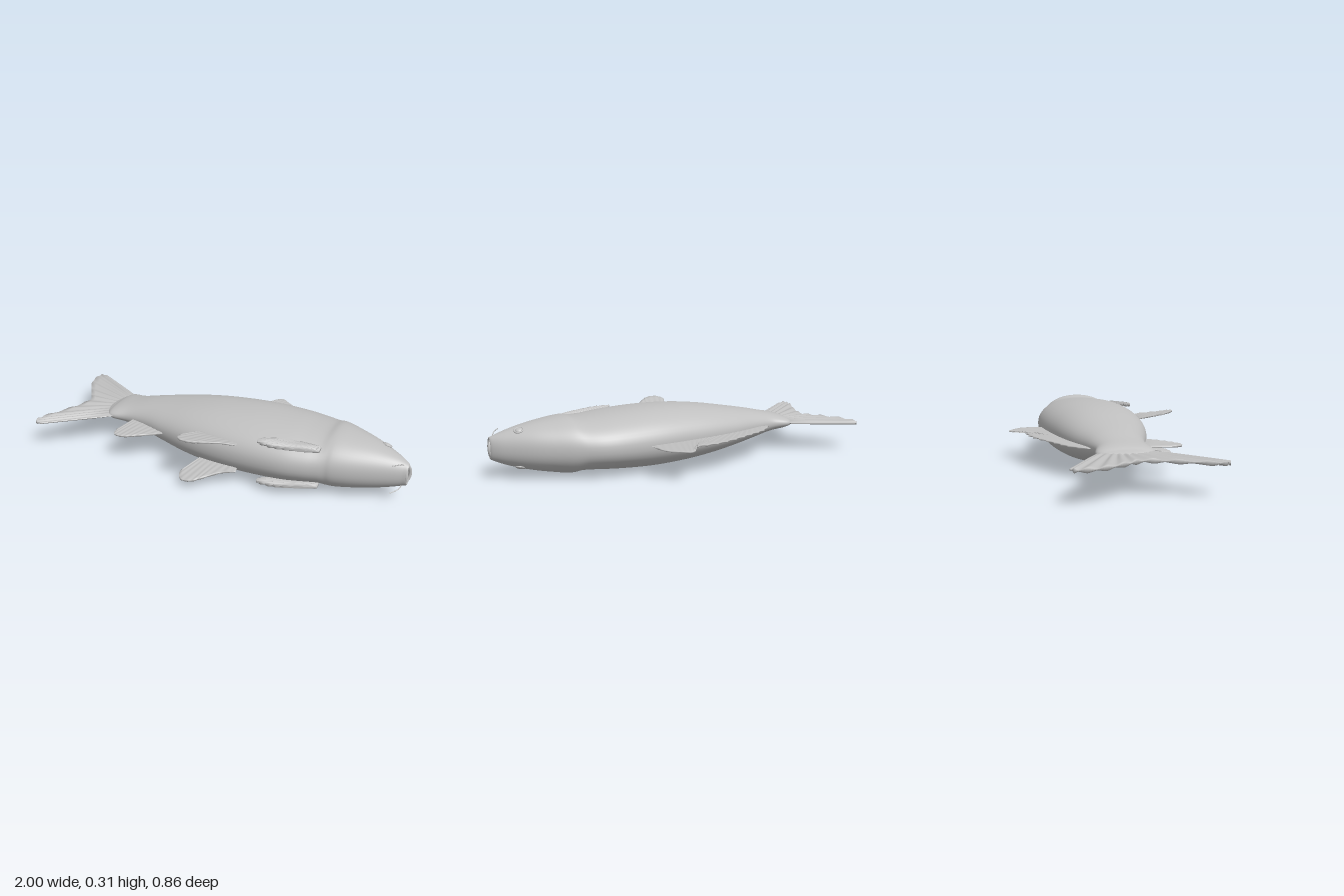
import * as THREE from 'three';

const skin = new THREE.MeshStandardMaterial({ color: 0xc0c0c0 });
skin.name = 'pale grey';
const MID = 0.156; // height of the fish's plane of symmetry (it lies on its side)

// Closed skin over a row of rings with equal point counts
function loft(rings) {
  const n = rings[0].length, pos = rings.flat(2), idx = [];
  for (let i = 0; i < rings.length - 1; i++) {
    for (let j = 0; j < n; j++) {
      const k = (j + 1) % n, a = i * n + j, b = i * n + k;
      idx.push(a, a + n, b, b, a + n, b + n);
    }
  }
  // Turn the faces outward if the enclosed volume comes out negative
  const P = (i) => new THREE.Vector3(pos[3 * i], pos[3 * i + 1] - MID, pos[3 * i + 2]);
  let volume = 0;
  for (let i = 0; i < idx.length; i += 3) volume += P(idx[i]).dot(P(idx[i + 1]).cross(P(idx[i + 2])));
  if (volume < 0) idx.reverse();
  const g = new THREE.BufferGeometry();
  g.setAttribute('position', new THREE.Float32BufferAttribute(pos, 3));
  g.setIndex(idx);
  g.computeVertexNormals();
  return g;
}

const curve = (pts) => new THREE.CatmullRomCurve3(pts.map(([x, z]) => new THREE.Vector3(x, 0, z)), false, 'centripetal');

// Fin fanned from a base curve to an edge curve, with ribs and an optional ragged edge
function fin(base, edge, { thick = 0.008, ribs = 10, ripple = 0.001, ragged = 0, height = () => MID }) {
  const from = curve(base), to = curve(edge), U = ribs * 8, V = 8, rings = [];
  for (let i = 0; i <= U; i++) {
    const u = i / U, a = from.getPoint(u), b = to.getPoint(u);
    const wave = Math.cos(u * ribs * Math.PI * 2);
    if (u < 0.62) b.z += ragged * Math.abs(Math.sin(u * ribs * Math.PI));
    const half = thick / 2 * Math.min(1, Math.min(u, 1 - u) * 25);
    const top = [], bottom = [];
    for (let j = 0; j <= V; j++) {
      const v = j / V, p = a.clone().lerp(b, v), y = height(p.x, p.z);
      const h = half + (half > 0 ? ripple * wave * Math.min(1, v * 3) : 0);
      top.push([p.x, y + h, p.z]);
      bottom.unshift([p.x, y - h, p.z]);
    }
    rings.push([...top, ...bottom]);
  }
  return loft(rings);
}

export function createModel() {
  const fish = new THREE.Group();
  fish.name = 'fish';
  const add = (name, geometry) => {
    const m = new THREE.Mesh(geometry, skin);
    m.name = name;
    fish.add(m);
    return m;
  };

  // Body stations: x, back z, belly z, half thickness
  const stations = [
    [-0.71, 0.01, 0.03, 0.002], [-0.70, -0.035, 0.08, 0.009], [-0.675, -0.09, 0.135, 0.02],
    [-0.645, -0.115, 0.163, 0.035], [-0.55, -0.1, 0.153, 0.057], [-0.45, -0.12, 0.168, 0.08],
    [-0.3, -0.165, 0.215, 0.108], [-0.15, -0.198, 0.257, 0.133], [0, -0.22, 0.281, 0.149],
    [0.2, -0.24, 0.293, 0.155], [0.4, -0.24, 0.288, 0.145], [0.5, -0.226, 0.268, 0.136],
    [0.57, -0.204, 0.245, 0.134], [0.61, -0.188, 0.232, 0.142], [0.64, -0.175, 0.228, 0.142],
    [0.7, -0.145, 0.213, 0.134], [0.8, -0.09, 0.18, 0.116], [0.9, -0.022, 0.143, 0.089],
    [0.96, 0.025, 0.12, 0.066], [0.985, 0.055, 0.112, 0.052],
    [0.975, 0.066, 0.104, 0.042], [0.93, 0.078, 0.094, 0.02], [0.925, 0.085, 0.087, 0.002],
  ];
  const sides = new THREE.CatmullRomCurve3(stations.map(([x, a, b]) => new THREE.Vector3(x, a, b)), false, 'centripetal');
  const depth = new THREE.CatmullRomCurve3(stations.map(([x, , , h]) => new THREE.Vector3(x, h, 0)), false, 'centripetal');
  const rings = [], steps = (stations.length - 1) * 5, round = (c) => Math.sign(c) * Math.abs(c) ** 0.92;
  for (let i = 0; i <= steps; i++) {
    const s = sides.getPoint(i / steps), h = Math.max(0.001, depth.getPoint(i / steps).y);
    const ring = [];
    for (let j = 0; j < 56; j++) {
      const t = j / 56 * Math.PI * 2;
      ring.push([s.x, MID + h * round(Math.sin(t)), (s.y + s.z) / 2 + (s.z - s.y) / 2 * round(Math.cos(t))]);
    }
    rings.push(ring);
  }
  add('body', loft(rings));

  // Fins on the plane of symmetry
  add('tailFin', fin(
    [[-0.62, -0.1], [-0.66, -0.04], [-0.675, 0.02], [-0.66, 0.09], [-0.61, 0.15]],
    [[-0.965, -0.29], [-1, -0.265], [-0.985, -0.16], [-0.91, -0.04], [-0.855, 0.05],
      [-0.89, 0.18], [-0.965, 0.34], [-0.97, 0.395], [-0.93, 0.405]],
    { thick: 0.014, ribs: 11, ripple: 0.004 }));
  add('dorsalFin', fin(
    [[-0.49, -0.1], [-0.3, -0.14], [0, -0.2], [0.26, -0.22]],
    [[-0.512, -0.122], [-0.42, -0.205], [-0.31, -0.255], [-0.18, -0.31], [-0.05, -0.35], [0.06, -0.355],
      [0.1, -0.375], [0.11, -0.415], [0.14, -0.435], [0.18, -0.41], [0.235, -0.36], [0.265, -0.25]],
    { thick: 0.006, ribs: 22, ripple: 0.0005, ragged: 0.012 }));
  add('analFin', fin(
    [[-0.5, 0.12], [-0.27, 0.2]],
    [[-0.525, 0.28], [-0.505, 0.335], [-0.45, 0.34], [-0.385, 0.3], [-0.28, 0.225]],
    { ribs: 9 }));

  // Paired parts on both flanks
  for (const [side, s] of [['left', 1], ['right', -1]]) {
    add(side + 'PelvicFin', fin(
      [[-0.045, 0.235], [0.17, 0.255]],
      [[-0.08, 0.32], [-0.095, 0.38], [-0.065, 0.422], [-0.01, 0.42], [0.03, 0.39], [0.11, 0.325], [0.18, 0.298]],
      { ribs: 9, height: (x, z) => MID + s * (0.078 + 0.21 * (z - 0.27) - 0.05 * x) }));
    add(side + 'PectoralFin', fin(
      [[0.578, 0.18], [0.582, 0.225]],
      [[0.55, 0.18], [0.4, 0.193], [0.3, 0.24], [0.282, 0.275], [0.35, 0.29], [0.43, 0.275], [0.54, 0.24]],
      { thick: 0.012, ribs: 12, ripple: 0.003, height: (x, z) => MID + s * (0.107 - 0.04 * (x - 0.4)) }));

    // Eye with a raised rim
    const eye = new THREE.Group();
    eye.name = side + 'Eye';
    const ball = new THREE.Mesh(new THREE.SphereGeometry(0.018, 24, 16), skin);
    ball.name = 'eyeball';
    ball.scale.z = 0.45;
    const rim = new THREE.Mesh(new THREE.TorusGeometry(0.021, 0.004, 10, 32), skin);
    rim.name = 'eyeRim';
    eye.add(ball, rim);
    eye.position.set(0.855, MID + s * 0.094, 0.005);
    eye.lookAt(0.855 + 0.3, MID + s * 1.094, 0.005 - 0.38);
    fish.add(eye);

    // Barbel hanging from the corner of the mouth
    const whisker = new THREE.CatmullRomCurve3([
      [0.965, 0.05, 0.09], [0.955, 0.066, 0.115], [0.94, 0.072, 0.14], [0.92, 0.075, 0.165],
    ].map(([x, y, z]) => new THREE.Vector3(x, MID + s * y, z)));
    add(side + 'Barbel', new THREE.TubeGeometry(whisker, 16, 0.0025, 6));
  }

  // Lips around the open mouth
  const lipLine = [];
  for (let i = 0; i < 16; i++) {
    const t = i / 16 * Math.PI * 2, z = 0.023 * Math.cos(t);
    lipLine.push(new THREE.Vector3(0.984 - 0.2 * z - 0.012 * Math.sin(t) ** 2, MID + 0.046 * Math.sin(t), 0.084 + z));
  }
  add('lips', new THREE.TubeGeometry(new THREE.CatmullRomCurve3(lipLine, true), 48, 0.009, 10, true));

  return fish;
}
